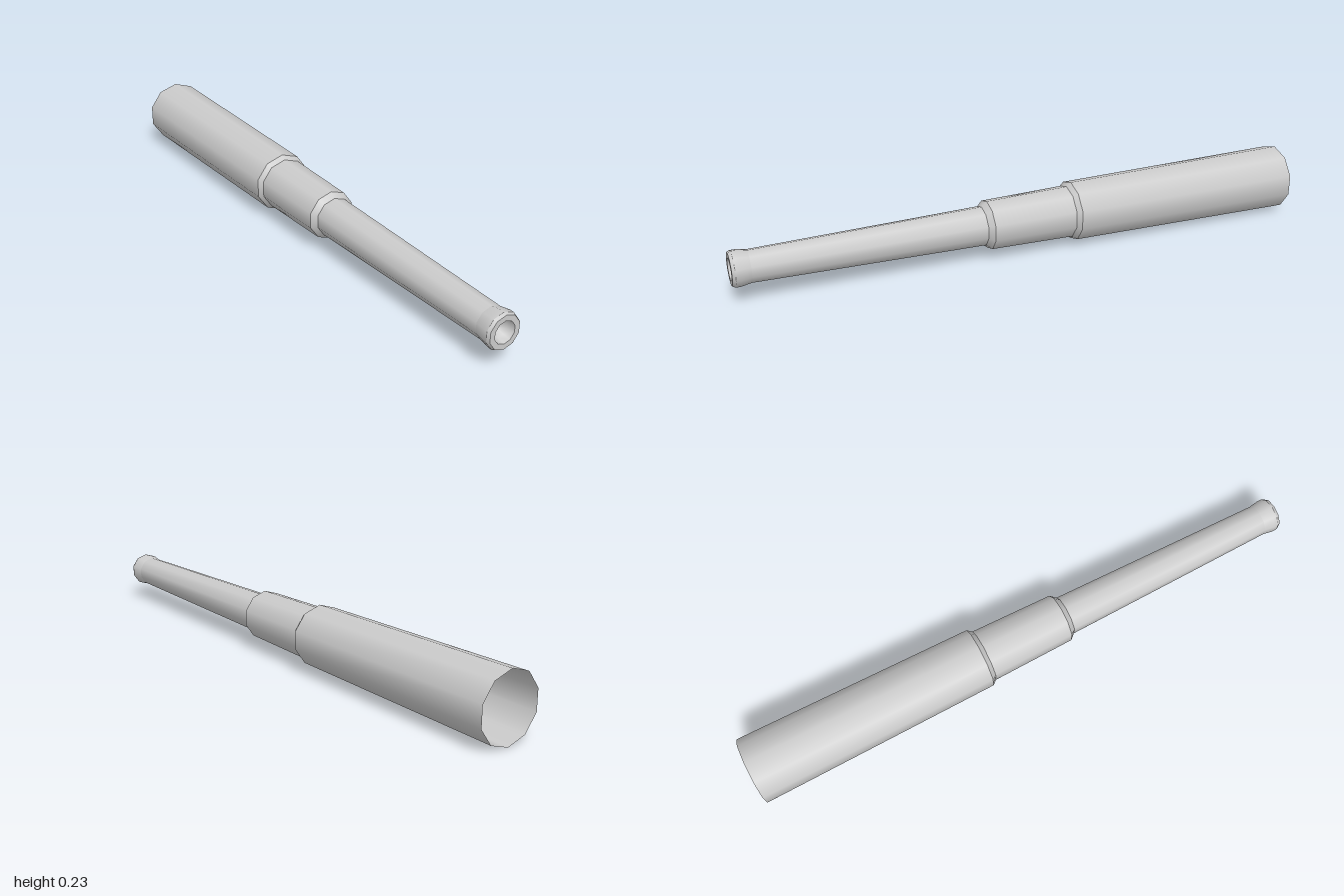
import * as THREE from 'three';

const SIDES = 10;
const AXIS_HEIGHT = 0.115;

export function createModel() {
  const group = new THREE.Group();
  group.name = 'telescope';
  const material = new THREE.MeshStandardMaterial({ color: 0xcccccc, side: THREE.DoubleSide });

  // Each part is a ten-sided ring surface given as [radius, z], running along the axis
  const addPart = (name, profile) => {
    const points = profile.map(([r, z]) => new THREE.Vector2(r, z));
    const mesh = new THREE.Mesh(new THREE.LatheGeometry(points, SIDES), material);
    mesh.name = name;
    mesh.rotation.x = Math.PI / 2; // lathe axis onto +z
    mesh.position.y = AXIS_HEIGHT;
    group.add(mesh);
  };

  // Large tube, open at the back
  addPart('outerTube', [[0.115, -1], [0.104, -0.163]]);
  addPart('outerShoulder', [[0.104, -0.163], [0.091, -0.147]]);

  // Middle tube
  addPart('middleTube', [[0.091, -0.147], [0.085, 0.147]]);
  addPart('middleShoulder', [[0.085, 0.147], [0.068, 0.166]]);

  // Slim tube flaring into the eyepiece
  addPart('innerTube', [[0.068, 0.166], [0.054, 0.94]]);
  addPart('eyepieceFlare', [[0.054, 0.94], [0.06, 0.975], [0.06, 0.99]]);
  addPart('eyepieceChamfer', [[0.06, 0.99], [0.055, 1]]);
  addPart('eyepieceRim', [[0.055, 1], [0.037, 1]]);

  // Recess that narrows to a point inside the eyepiece
  addPart('eyepieceRecess', [[0.037, 1], [0.03, 0.975], [0.012, 0.955], [0, 0.95]]);

  return group;
}
